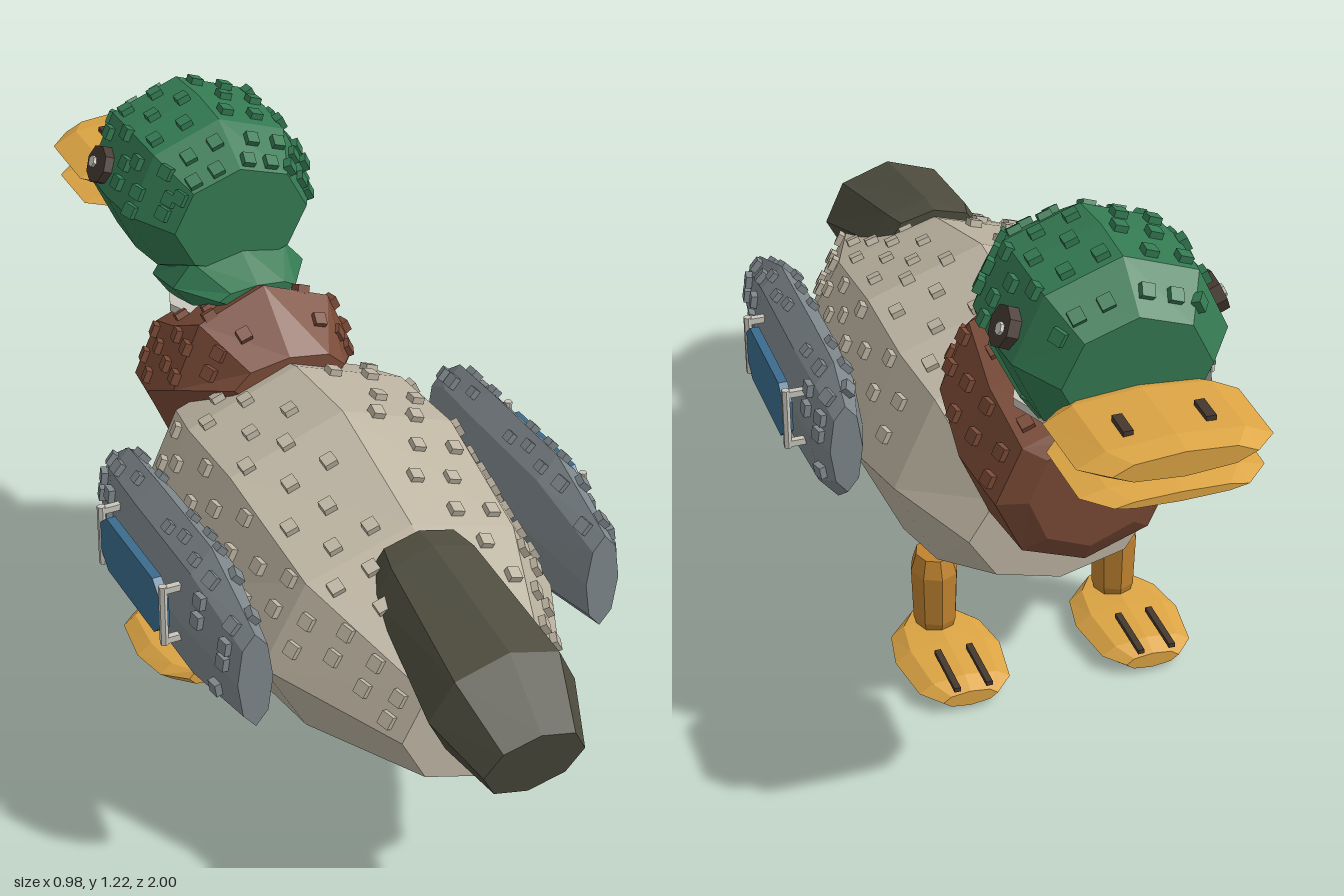
import * as THREE from 'three';
import { mergeGeometries } from 'three/addons/utils/BufferGeometryUtils.js';

const N = 8; // sides of every low-poly cross-section

// Ring: [z, centreY, radiusX, radiusY, lean]; point u runs 0..8 round the octagon, 2 = top
function corner(r, j) {
  const a = (j / N) * Math.PI * 2, y = Math.sin(a) * r[3];
  return new THREE.Vector3(Math.cos(a) * r[2], r[1] + y, r[0] + (r[4] || 0) * y);
}

// Closed hull through rings listed with rising z
function loft(rings) {
  const pos = [];
  const tri = (...pts) => pts.forEach(p => pos.push(p.x, p.y, p.z));
  const first = rings[0], last = rings[rings.length - 1];
  const c0 = new THREE.Vector3(0, first[1], first[0]);
  const c1 = new THREE.Vector3(0, last[1], last[0]);
  for (let j = 0; j < N; j++) {
    for (let i = 0; i < rings.length - 1; i++) {
      const a = corner(rings[i], j), b = corner(rings[i], j + 1);
      const c = corner(rings[i + 1], j), d = corner(rings[i + 1], j + 1);
      tri(a, b, c);
      tri(b, d, c);
    }
    tri(c0, corner(first, j + 1), corner(first, j));
    tri(c1, corner(last, j), corner(last, j + 1));
  }
  const g = new THREE.BufferGeometry();
  g.setAttribute('position', new THREE.Float32BufferAttribute(pos, 3));
  g.computeVertexNormals();
  return g;
}

// Point on the faceted hull at depth z and position u
function onHull(rings, z, u) {
  let i = 0;
  while (i < rings.length - 2 && z > rings[i + 1][0]) i++;
  const A = rings[i], B = rings[i + 1], t = (z - A[0]) / (B[0] - A[0]);
  const r = A.map((v, k) => v + (B[k] - v) * t), j = Math.floor(u);
  return corner(r, j).lerp(corner(r, j + 1), u - j);
}

// Small raised feather blocks lying flat on a hull
function studs(rings, zs, us, size = 0.028) {
  const list = [];
  zs.forEach((z, row) => us.forEach(u0 => {
    const u = u0 + (row % 2 ? 0.1 : -0.1);
    const p = onHull(rings, z, u);
    const tu = onHull(rings, z, u + 0.02).sub(p).normalize();
    const tz = onHull(rings, z + 0.004, u).sub(p).normalize();
    const n = tu.clone().cross(tz).normalize();
    const m = new THREE.Matrix4().makeBasis(tu, n, tz.crossVectors(tu, n));
    m.setPosition(p.addScaledVector(n, 0.005));
    list.push(new THREE.BoxGeometry(size, 0.018, size).applyMatrix4(m));
  }));
  return mergeGeometries(list);
}

export function createModel() {
  const duck = new THREE.Group();
  duck.name = 'duck';
  const mat = (name, color) => {
    const m = new THREE.MeshStandardMaterial({ color, flatShading: true });
    m.name = name;
    return m;
  };
  const tan = mat('tan plumage', 0xbdb4a2), green = mat('green plumage', 0x347a52);
  const brown = mat('chestnut', 0x7a4a36), olive = mat('tail olive', 0x4d4c3e);
  const grey = mat('wing grey', 0x7e878b), blue = mat('wing blue', 0x3c6c8e);
  const yellow = mat('bill yellow', 0xdda544), orange = mat('leg orange', 0xc08330);
  const pale = mat('pale', 0xc9c7bd), dark = mat('dark', 0x45382e);
  const add = (name, geo, material, parent = duck, x = 0, y = 0, z = 0) => {
    const m = new THREE.Mesh(geo, material);
    m.name = name;
    m.position.set(x, y, z);
    parent.add(m);
    return m;
  };

  // Body
  const body = [[-0.36, 0.41, 0.2, 0.13], [-0.2, 0.465, 0.31, 0.28], [-0.06, 0.48, 0.355, 0.31],
    [0.16, 0.485, 0.36, 0.315], [0.47, 0.46, 0.33, 0.245], [0.785, 0.44, 0.18, 0.14]];
  add('body', loft(body), tan);
  add('backFeathers', studs(body, [-0.12, -0.04, 0.07, 0.16, 0.25, 0.34, 0.43, 0.51, 0.59],
    [0.45, 0.8, 1.25, 1.6, 2.4, 2.75, 3.2, 3.55]), tan);
  add('rumpFeathers', studs(body, [0.67, 0.74], [0.35, 0.75, 3.25, 3.65]), tan);

  // Tail
  add('tail', loft([[0.5, 0.64, 0.11, 0.07], [0.56, 0.62, 0.13, 0.09],
    [0.85, 0.53, 0.16, 0.125, 0.15], [0.98, 0.47, 0.11, 0.08, 0.25]]), olive);

  // Breast
  const breast = [[-0.53, 0.6, 0.13, 0.13], [-0.5, 0.59, 0.19, 0.17], [-0.36, 0.625, 0.22, 0.21],
    [-0.22, 0.7, 0.215, 0.205], [-0.09, 0.745, 0.13, 0.05]];
  add('breast', loft(breast), brown);
  add('breastFeathers', studs(breast, [-0.46, -0.38, -0.3, -0.23, -0.16],
    [0.3, 0.75, 1.3, 2.7, 3.25, 3.7]), brown);

  // Neck and pale collar
  add('neck', loft([[-0.56, 0.8, 0.07, 0.05], [-0.5, 0.83, 0.14, 0.085],
    [-0.35, 0.87, 0.155, 0.075], [-0.25, 0.87, 0.09, 0.02]]), green);
  add('collar', new THREE.CylinderGeometry(0.13, 0.13, 0.018, N), pale, duck, 0, 0.777, -0.43);

  // Head
  const head = [[-0.76, 1.0, 0.15, 0.125], [-0.67, 1.015, 0.215, 0.19], [-0.55, 1.015, 0.222, 0.197],
    [-0.44, 1.015, 0.215, 0.185], [-0.33, 1.01, 0.155, 0.12]];
  add('head', loft(head), green);
  add('headFeathers', studs(head, [-0.72, -0.64, -0.56, -0.48, -0.4, -0.35],
    [0.85, 1.25, 1.7, 2.3, 2.75, 3.15]), green);
  add('cheekFeathers', studs(head, [-0.52, -0.44, -0.37], [0.2, 0.5, 3.5, 3.8]), green);

  // Bill
  add('upperBill', loft([[-1, 0.957, 0.14, 0.026], [-0.95, 0.953, 0.19, 0.038],
    [-0.78, 0.948, 0.193, 0.04], [-0.74, 0.945, 0.15, 0.03]]), yellow);
  add('lowerBill', loft([[-0.99, 0.882, 0.13, 0.01], [-0.94, 0.883, 0.18, 0.017],
    [-0.78, 0.885, 0.185, 0.018], [-0.73, 0.89, 0.14, 0.015]]), yellow);

  // Wing, shared by both sides
  const wing = [[-0.13, 0.535, 0.035, 0.105], [-0.05, 0.535, 0.058, 0.165], [0.1, 0.535, 0.065, 0.17],
    [0.37, 0.535, 0.065, 0.17], [0.57, 0.515, 0.038, 0.11]];
  const wingGeo = loft(wing);
  const panel = new THREE.Shape([[0.05, 0.48], [0.29, 0.48], [0.325, 0.51], [0.325, 0.58],
    [0.29, 0.61], [0.05, 0.61], [0.015, 0.58], [0.015, 0.51]].map(p => new THREE.Vector2(...p)));
  const panelGeo = new THREE.ExtrudeGeometry(panel, { depth: 0.02, bevelEnabled: false });
  panelGeo.rotateY(-Math.PI / 2);
  const legGeo = new THREE.LatheGeometry([[0, 0.04], [0.04, 0.05], [0.048, 0.08], [0.052, 0.2],
    [0.04, 0.24], [0, 0.24]].map(p => new THREE.Vector2(...p)), N);
  const footGeo = loft([[-0.38, 0.028, 0.06, 0.018], [-0.34, 0.033, 0.1, 0.028],
    [-0.22, 0.033, 0.117, 0.032], [-0.13, 0.034, 0.1, 0.03], [-0.08, 0.038, 0.05, 0.024]]);

  for (const s of [1, -1]) {
    const side = s > 0 ? 'left' : 'right';
    const us = s > 0 ? [0.35, 0.75, 1.4, 2.5] : [3.65, 3.25, 2.6, 1.5];

    // Wing with blue panel between two pale bars
    const w = new THREE.Group();
    w.name = side + 'Wing';
    w.position.x = s * 0.39;
    duck.add(w);
    add('wingShell', wingGeo, grey, w);
    add('wingFeathers', studs(wing, [-0.09, -0.03, 0.42, 0.52], us), grey, w);
    add('wingTopFeathers', studs(wing, [0.05, 0.23, 0.29, 0.36], [1.5, 2.5], 0.022), grey, w);
    add('lowerWingFeathers', studs(wing, [-0.08, 0.48], s > 0 ? [7.4] : [4.6]), grey, w);
    add('wingPanel', panelGeo, blue, w, s * 0.085 + 0.01, 0, 0);
    for (const z of [0.01, 0.33]) {
      add('panelBar', new THREE.CylinderGeometry(0.009, 0.009, 0.14, 6), pale, w, s * 0.09, 0.545, z);
      for (const y of [0.485, 0.605])
        add('barMount', new THREE.BoxGeometry(0.05, 0.014, 0.014), pale, w, s * 0.066, y, z);
    }

    // Leg, webbed foot and toe ridges
    add(side + 'Leg', legGeo, orange, duck, s * 0.205, 0, -0.13).scale.z = 1.15;
    add(side + 'Foot', footGeo, yellow, duck, s * 0.205, 0, 0);
    for (const dx of [-0.035, 0.035])
      add('toeRidge', new THREE.BoxGeometry(0.014, 0.01, 0.14), dark, duck, s * 0.205 + dx, 0.072, -0.33);

    // Eye with a small glint
    const eye = new THREE.Group();
    eye.name = side + 'Eye';
    eye.position.set(s * 0.205, 1.06, -0.61);
    eye.rotation.z = s * (-Math.PI / 2 + 0.4);
    duck.add(eye);
    add('eyeDisc', new THREE.CylinderGeometry(0.043, 0.043, 0.03, N), dark, eye);
    add('eyeGlint', new THREE.CylinderGeometry(0.013, 0.013, 0.008, 6), pale, eye, 0, 0.018, -0.012);

    // Nostril
    add(side + 'Nostril', new THREE.BoxGeometry(0.02, 0.012, 0.06), dark, duck, s * 0.08, 0.988, -0.89);
  }
  return duck;
}
